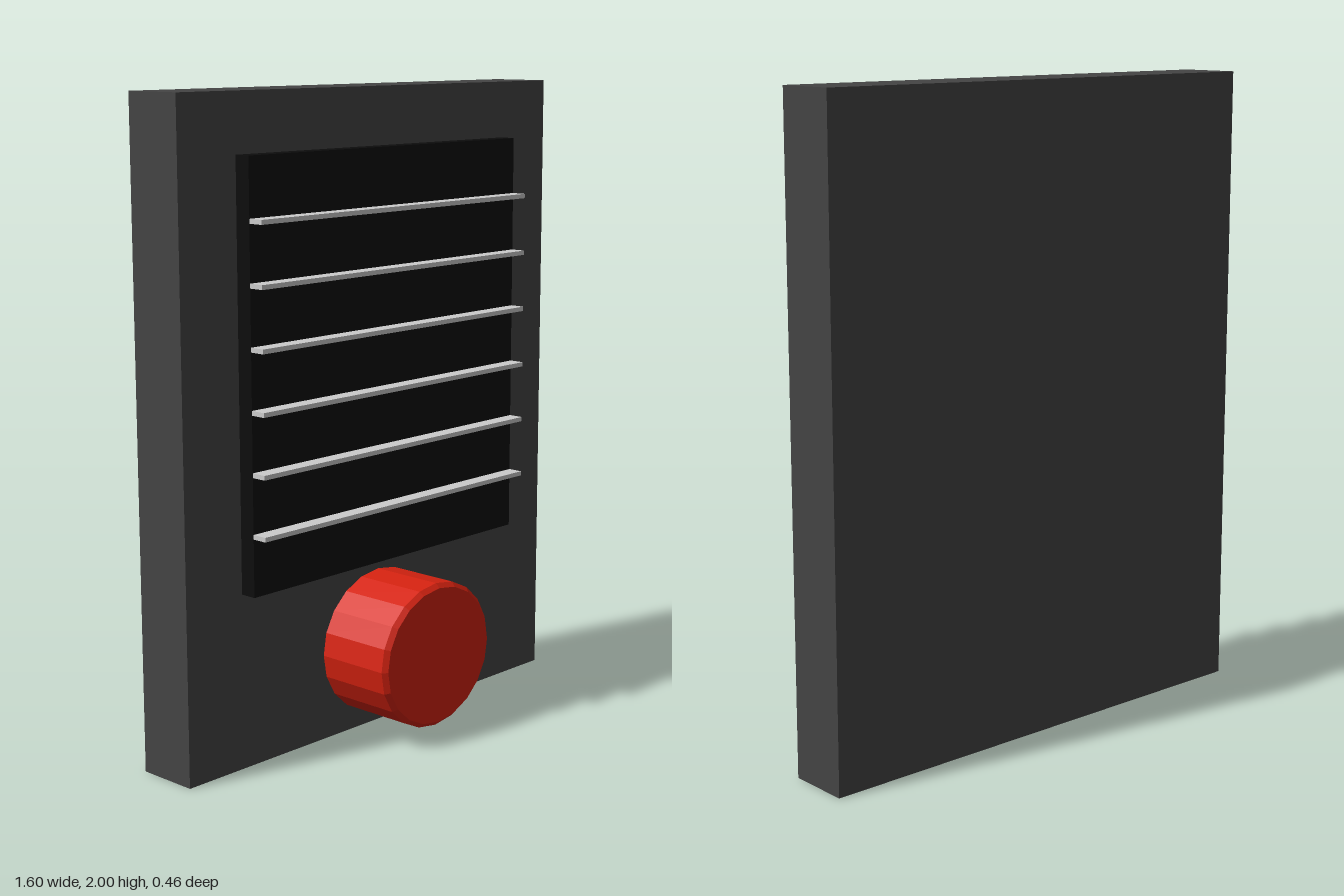
import * as THREE from 'three';

const material = (name, color, flatShading = false) => {
  const m = new THREE.MeshStandardMaterial({ color, flatShading });
  m.name = name;
  return m;
};

export function createModel() {
  const group = new THREE.Group();
  group.name = 'ventPanel';

  const darkGrey = material('darkGrey', 0x444444);
  const black = material('black', 0x0c0c0c);
  const lightGrey = material('lightGrey', 0xcccccc);
  const red = material('red', 0xd42210, true);

  // Box spanning y0..y1 and z0..z1, centred on x
  const addBox = (name, mat, width, y0, y1, z0, z1) => {
    const mesh = new THREE.Mesh(new THREE.BoxGeometry(width, y1 - y0, z1 - z0), mat);
    mesh.position.set(0, (y0 + y1) / 2, (z0 + z1) / 2);
    mesh.name = name;
    group.add(mesh);
  };

  // Backing slab and the grille plate on its front
  addBox('backPanel', darkGrey, 1.6, 0, 2, -0.228, -0.03);
  const bottom = 0.54, top = 1.822, plateFront = 0.023;
  addBox('grillePlate', black, 1.166, bottom, top, -0.03, plateFront);

  // Six evenly spaced horizontal slats
  const step = (top - bottom) / 7;
  for (let i = 1; i <= 6; i++) {
    const y = bottom + i * step;
    addBox('slat' + i, lightGrey, 1.166, y - 0.007, y + 0.007, plateFront, 0.072);
  }

  // Bevelled round button, slightly wider than tall
  const profile = [[0, -0.03], [1, -0.03], [1, 0.214], [0.94, 0.228], [0, 0.228]]
    .map(([r, z]) => new THREE.Vector2(r, z));
  const buttonGeometry = new THREE.LatheGeometry(profile, 20);
  buttonGeometry.rotateX(Math.PI / 2);
  buttonGeometry.scale(0.245, 0.229, 1);
  const button = new THREE.Mesh(buttonGeometry, red);
  button.position.y = 0.27;
  button.name = 'button';
  group.add(button);

  return group;
}
